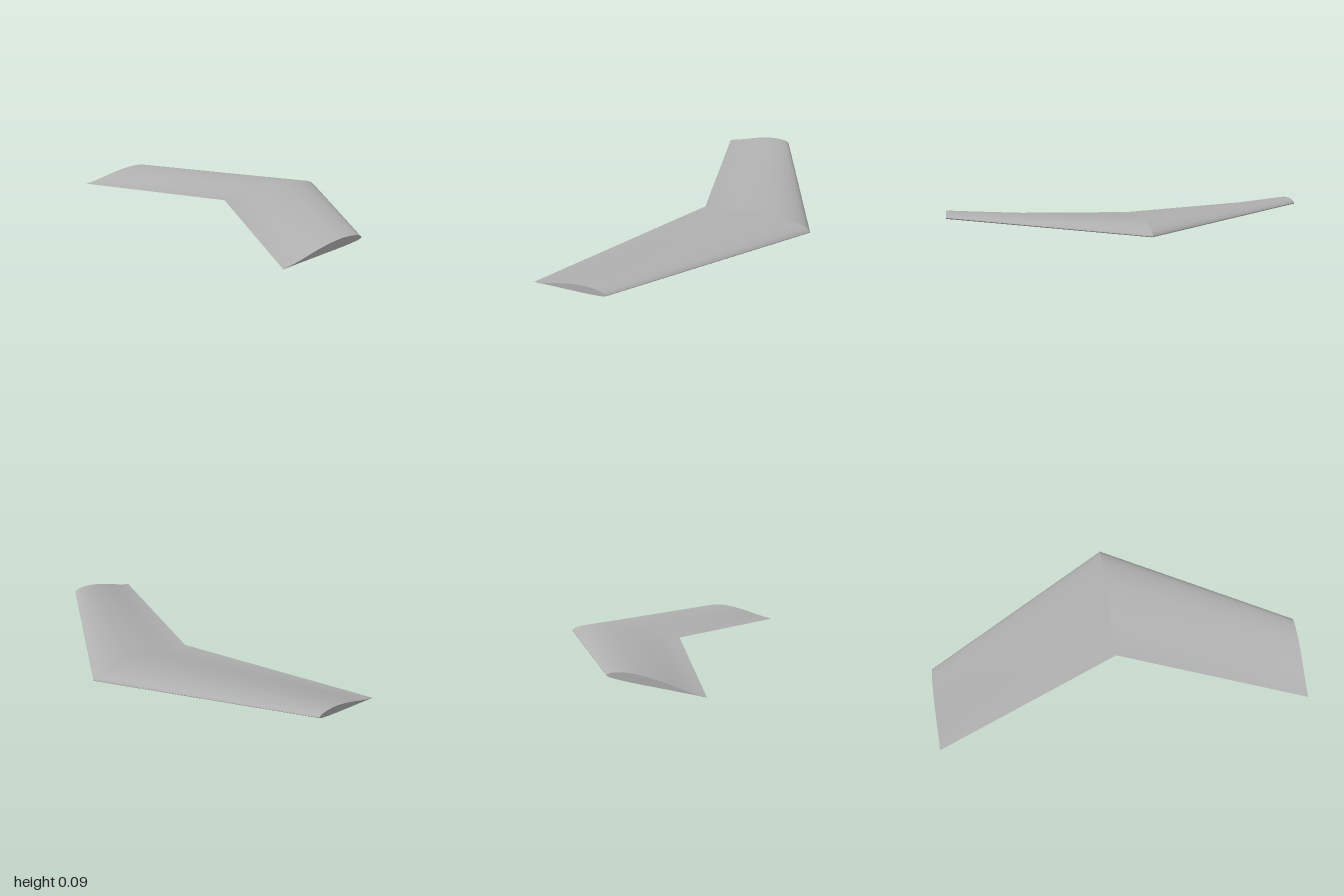
import * as THREE from 'three';

// Airfoil as fractions of the chord: distance aft of the nose, height over the chord line
const AIRFOIL = [
  [1, 0], [0.88, 0.009], [0.76, 0.025], [0.64, 0.044], [0.53, 0.059], [0.42, 0.069],
  [0.3, 0.074], [0.2, 0.069], [0.12, 0.057], [0.06, 0.041], [0.02, 0.022], [0, 0],
  [0.02, -0.009], [0.06, -0.014], [0.12, -0.017], [0.2, -0.018], [0.3, -0.017],
  [0.42, -0.014], [0.53, -0.011], [0.64, -0.008], [0.76, -0.005], [0.88, -0.002], [1, 0],
];

// Nose and trailing edge of the end sections; the tip is twisted nose-up
const ROOT = { nose: [0.505, 0.046], tail: [-0.13, 0.04] };
const TIP = { nose: [-0.07, 0.063], tail: [-0.505, 0] };
const HALF = 36; // steps along each side of the airfoil
const SPAN = 10; // steps from root to tip

const curve = new THREE.CatmullRomCurve3(AIRFOIL.map(([s, h]) => new THREE.Vector3(s, h, 0)));
const profile = [];
for (let i = 0; i <= 2 * HALF; i++) {
  // Upper and lower halves have equal counts; steps get finer towards the nose
  const v = i / HALF - 1;
  profile.push(curve.getPoint(0.5 + 0.5 * Math.sign(v) * Math.pow(Math.abs(v), 1.3)));
}

// Section at fraction t from root (0) to tip (1), placed at depth z
function section(t, z) {
  const mix = (key, k) => THREE.MathUtils.lerp(ROOT[key][k], TIP[key][k], t);
  const nx = mix('nose', 0), ny = mix('nose', 1);
  const dx = mix('tail', 0) - nx, dy = mix('tail', 1) - ny;
  const chord = Math.hypot(dx, dy);
  return profile.map(({ x: s, y: h }) => [
    nx + dx * s + dy * h * (chord / chord),
    ny + dy * s - dx * h,
    z,
  ]);
}

function build(points, index) {
  const geo = new THREE.BufferGeometry();
  geo.setAttribute('position', new THREE.Float32BufferAttribute(points.flat(), 3));
  geo.setIndex(index);
  geo.computeVertexNormals();
  return geo;
}

// Lofted skin from root to tip; side is the sign of z
function skin(side) {
  const points = [], index = [], n = profile.length;
  for (let j = 0; j <= SPAN; j++) points.push(...section(j / SPAN, side * j / SPAN));
  for (let j = 0; j < SPAN; j++) {
    for (let i = 0; i < n - 1; i++) {
      const a = j * n + i, b = a + 1, c = a + n, d = c + 1;
      if (side > 0) index.push(a, c, b, b, c, d);
      else index.push(a, b, c, b, d, c);
    }
  }
  return build(points, index);
}

// Flat end plate joining upper and lower points of the tip section
function cap(side) {
  const index = [], last = profile.length - 1;
  for (let k = 0; k < HALF; k++) {
    const u = k, u2 = k + 1, l = last - k, l2 = l - 1;
    if (side > 0) index.push(l, l2, u2, l, u2, u);
    else index.push(l, u2, l2, l, u, u2);
  }
  return build(section(1, side), index);
}

export function createModel() {
  const model = new THREE.Group();
  model.name = 'sweptWing';
  const grey = new THREE.MeshStandardMaterial({ color: 0xb0b0b0 });
  grey.name = 'wing grey';

  for (const [side, label] of [[1, 'front'], [-1, 'back']]) {
    const half = new THREE.Group();
    half.name = label + 'WingHalf';
    for (const [name, geo] of [['Skin', skin(side)], ['TipCap', cap(side)]]) {
      const mesh = new THREE.Mesh(geo, grey);
      mesh.name = label + name;
      half.add(mesh);
    }
    model.add(half);
  }
  return model;
}
